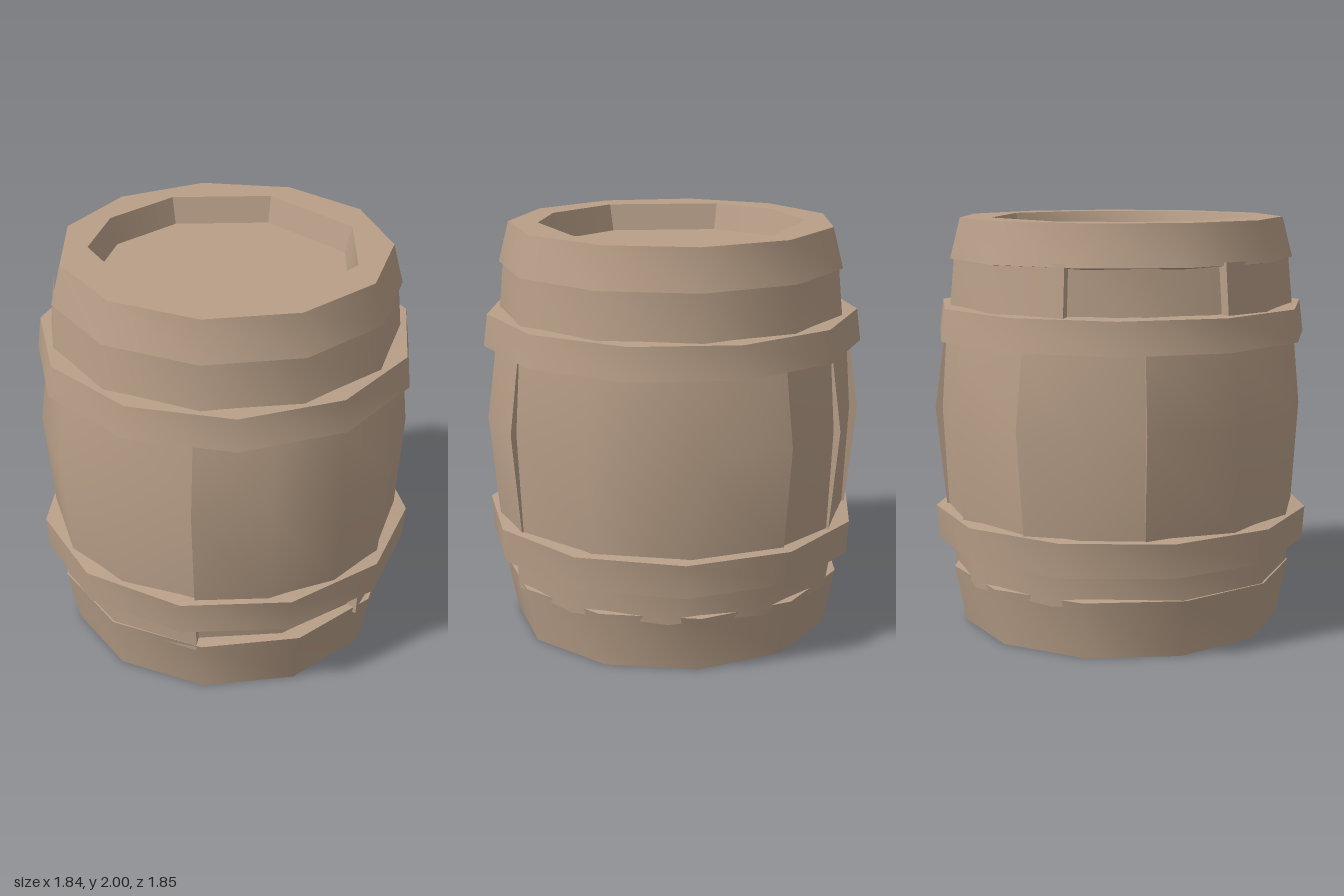
import * as THREE from 'three';
import { toCreasedNormals } from 'three/addons/utils/BufferGeometryUtils.js';

const RAD = Math.PI / 180;

// Evenly spaced angles in degrees, measured from the front (+z) towards +x
const ringAngles = (n, start) => Array.from({ length: n }, (_, i) => start + (i * 360) / n);

// Closed band around the y axis. profile: [radius, y, offsetWeight] from bottom to top.
// stations: angles, or [angle, radialOffset]; a repeated angle makes a radial step.
function band(profile, stations) {
  const pos = [], index = [], p = profile.length, n = stations.length;
  for (const s of stations) {
    const [a, off] = Array.isArray(s) ? s : [s, 0];
    for (const [r, y, w = 0] of profile) {
      const rr = r + off * w;
      pos.push(rr * Math.sin(a * RAD), y, rr * Math.cos(a * RAD));
    }
  }
  for (let i = 0; i < n; i++) {
    for (let j = 0; j < p - 1; j++) {
      const a = i * p + j, b = ((i + 1) % n) * p + j;
      index.push(a, b, a + 1, b + 1, a + 1, b);
    }
  }
  const g = new THREE.BufferGeometry();
  g.setAttribute('position', new THREE.Float32BufferAttribute(pos, 3));
  g.setIndex(index);
  return toCreasedNormals(g, 0.68);
}

// Horizontal polygon, with an optional polygonal hole, facing up or down
function flatFace(r, angles, y, up, holeR, holeAngles) {
  const pts = (rad, list) => list.map((a) =>
    new THREE.Vector2(rad * Math.sin(a * RAD), (up ? -1 : 1) * rad * Math.cos(a * RAD)));
  const shape = new THREE.Shape(pts(r, angles));
  if (holeR) shape.holes.push(new THREE.Path(pts(holeR, holeAngles)));
  const g = new THREE.ShapeGeometry(shape);
  g.rotateX(up ? -Math.PI / 2 : Math.PI / 2);
  g.translate(0, y, 0);
  return g;
}

export function createModel() {
  const group = new THREE.Group();
  group.name = 'barrel';
  const wood = new THREE.MeshStandardMaterial({ color: 0xb89f88 });
  wood.name = 'brown wood';
  const add = (name, geometry) => {
    const mesh = new THREE.Mesh(geometry, wood);
    mesh.name = name;
    group.add(mesh);
  };

  const rim = ringAngles(11, -11);
  const recess = [-7, 30, 59, 99, 139, 189, 234, 270, 302];

  // Bulging staves, some standing proud of their neighbours
  add('staves', band(
    [[0.855, 0.5, 0.2], [0.862, 0.6, 0.35], [0.885, 1.07, 1], [0.862, 1.4, 0.3], [0.855, 1.5, 0.2]],
    [[-30, 0.02], [-5, 0.01], [20, 0], [20, 0.045], [43, 0.03], [66, 0.03], [88, 0.03], [88, 0],
      [118, 0.01], [149, 0.02], [180, 0.035], [180, 0], [203, 0], [203, 0.035], [232, 0],
      [232, 0.04], [251, 0.02], [270, 0], [270, 0.035], [300, 0.03]]));

  // Two hoops, slightly flared
  add('upperHoop', band([[0.8, 1.41], [0.925, 1.425], [0.905, 1.58], [0.8, 1.585]], ringAngles(11, 0)));
  add('lowerHoop', band([[0.8, 0.405], [0.912, 0.41], [0.925, 0.575], [0.8, 0.59]], ringAngles(11, 180)));

  // Necks between hoops and end bands, each with a missing chip
  add('upperNeck', band([[0.85, 1.5, 1], [0.82, 1.82, 1]],
    [[-62, 0], [-44, 0], [-11, 0], [22, 0], [54, 0], [87, 0], [120, 0], [153, 0], [185, 0], [218, 0],
      [245, 0], [245, -0.05], [271, -0.05], [298, -0.05]]));
  add('lowerNeck', band([[0.835, 0.25, 1], [0.85, 0.46, 1]],
    [[-11, 0], [20, 0], [20, -0.055], [50, -0.055], [80, -0.055], [80, 0], [109, 0], [142, 0],
      [174, 0], [207, 0], [240, 0], [283, 0], [316, 0]]));

  // End bands, tapering towards the rims
  add('topBand', band([[0.74, 1.79], [0.84, 1.805], [0.79, 2]], rim));
  add('bottomBand', band([[0.79, 0], [0.845, 0.28], [0.74, 0.29]], rim));

  // Rims and recessed heads
  for (const up of [true, false]) {
    const end = up ? 'top' : 'bottom';
    const rimY = up ? 2 : 0, floorY = up ? 1.87 : 0.13;
    const wall = [[0.645, rimY], [0.61, floorY]];
    add(end + 'Rim', flatFace(0.79, rim, rimY, up, 0.645, recess));
    add(end + 'RecessWall', band(up ? wall : wall.reverse(), recess));
    add(end + 'Head', flatFace(0.61, recess, floorY, up));
  }
  return group;
}
